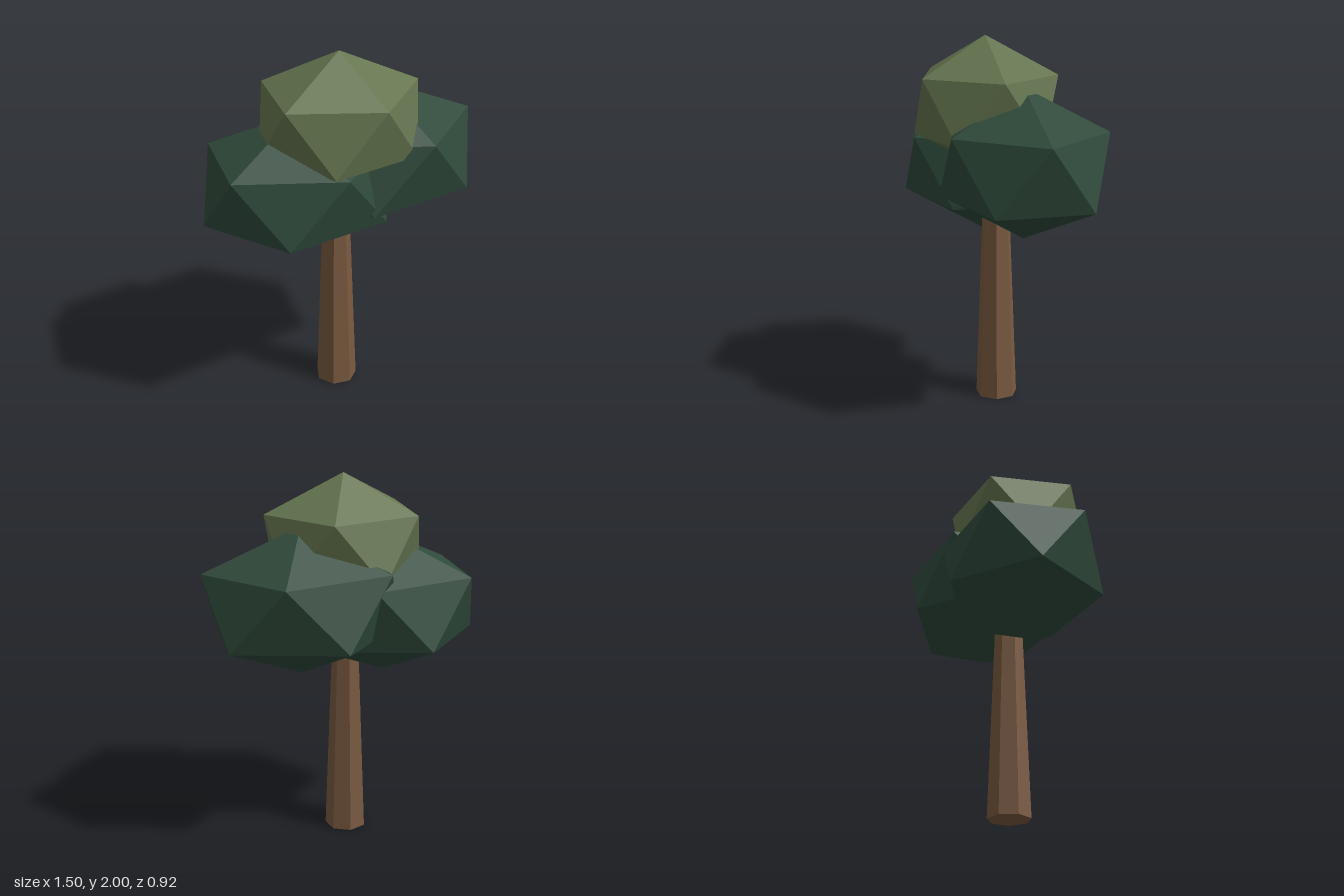
import * as THREE from 'three';

const mat = (name, color) => {
  const m = new THREE.MeshStandardMaterial({ color, flatShading: true });
  m.name = name;
  return m;
};

export function createModel() {
  const bark = mat('bark brown', 0x7a5a40);
  const darkLeaf = mat('dark green leaves', 0x2f4a3b);
  const lightLeaf = mat('olive green leaves', 0x64754f);
  const tree = new THREE.Group();
  tree.name = 'tree';

  // Tapered seven-sided trunk, flat side to the front
  const trunkHeight = 1.25;
  const trunk = new THREE.Mesh(
    new THREE.CylinderGeometry(0.068, 0.115, trunkHeight, 7, 1, false, Math.PI), bark);
  trunk.name = 'trunk';
  trunk.position.set(-0.03, trunkHeight / 2, 0.03);
  tree.add(trunk);

  // Leaf clump: icosahedron standing on a corner, stretched to its radii
  const tilt = Math.atan(2 / (1 + Math.sqrt(5)));
  const addClump = (name, material, radii, centre) => {
    const geometry = new THREE.IcosahedronGeometry(1, 0).rotateZ(-tilt).scale(...radii);
    geometry.computeVertexNormals();
    const clump = new THREE.Mesh(geometry, material);
    clump.name = name;
    clump.position.set(...centre);
    tree.add(clump);
  };
  addClump('topFoliage', lightLeaf, [0.475, 0.365, 0.38 / 0.9], [-0.03, 1.635, 0.087]);
  addClump('leftFoliage', darkLeaf, [0.581, 0.397, 0.483], [0.229, 1.362, -0.05]);
  addClump('rightFoliage', darkLeaf, [0.559, 0.385, 0.473], [-0.25, 1.293, 0.057]);

  return tree;
}
